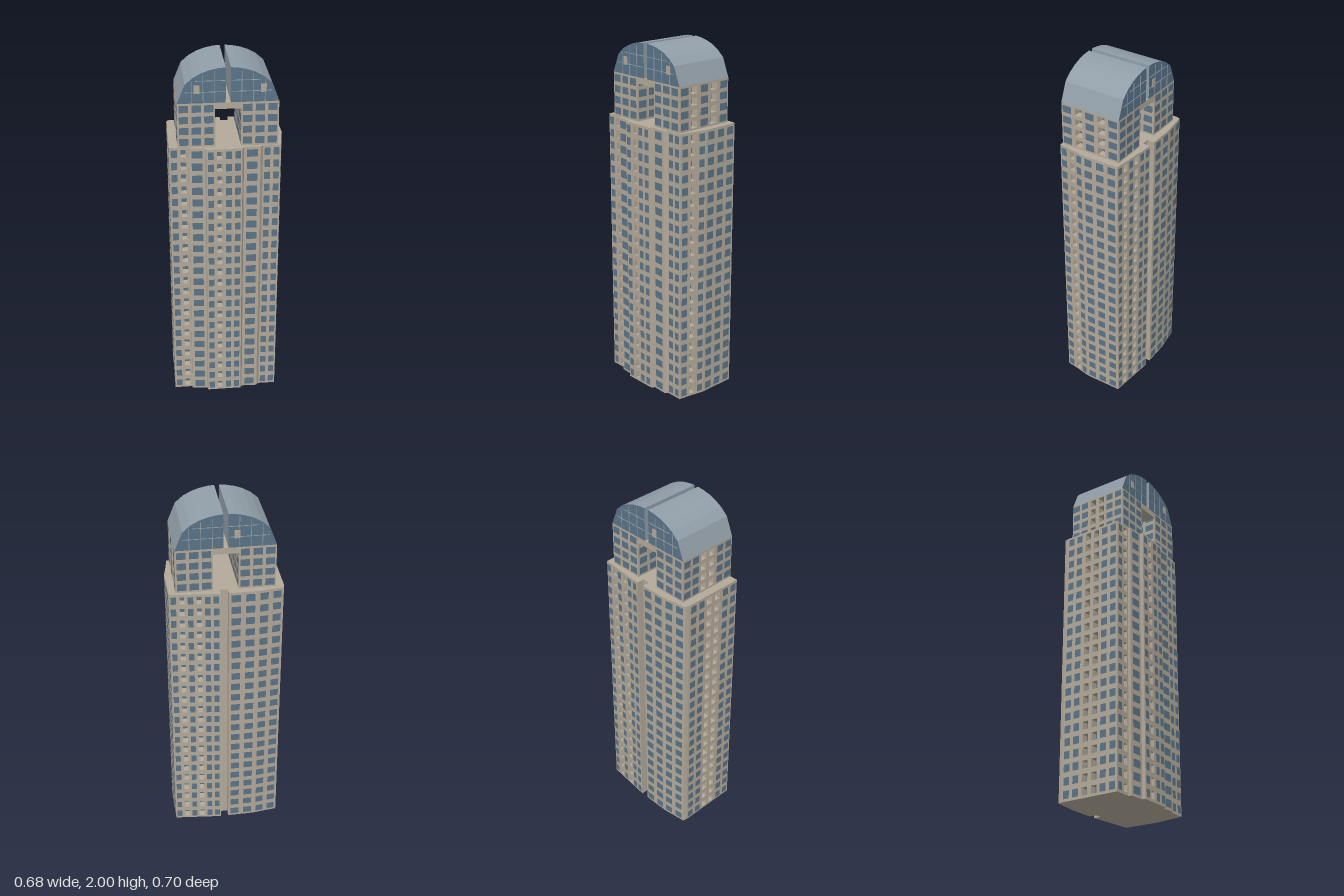
import * as THREE from 'three';
import { mergeGeometries } from 'three/addons/utils/BufferGeometryUtils.js';

const mat = (name, color, side = THREE.FrontSide) => {
  const m = new THREE.MeshStandardMaterial({ color, side });
  m.name = name;
  return m;
};

export function createModel() {
  const stone = mat('warm stone', 0xb3a999);
  const glass = mat('blue glass', 0x5a7488);
  const metal = mat('roof metal', 0x919ea8);
  const root = new THREE.Group();
  root.name = 'tower';

  const add = (name, geo, material, parent = root) => {
    const m = new THREE.Mesh(geo, material);
    m.name = name;
    parent.add(m);
    return m;
  };
  const plane = (w, h, x, y, z) => new THREE.PlaneGeometry(w, h).translate(x, y, z);

  // Inward-facing open box lining a balcony recess
  const recess = (w, h, d, x, y) => {
    const g = new THREE.BoxGeometry(w, h, d);
    const keep = Array.from(g.index.array).filter((_, i) => i < 24 || i >= 30);
    g.setIndex(keep);
    g.clearGroups();
    g.scale(-1, 1, 1);
    g.computeVertexNormals();
    return g.translate(x, y, -d / 2);
  };

  // Storeyed block on a footprint; one pattern per side, read left to right
  // from outside: w = window, b = recessed balcony
  const block = (name, pts, patterns, y0, y1, floors, wide, high) => {
    const walls = [], panes = [];
    const fh = (y1 - y0) / floors, depth = 0.04;
    pts.forEach((a, i) => {
      const b = pts[(i + 1) % pts.length];
      const dx = b[0] - a[0], dz = b[1] - a[1], len = Math.hypot(dx, dz);
      const place = new THREE.Matrix4().makeRotationY(Math.atan2(dz, -dx))
        .setPosition((a[0] + b[0]) / 2, y0, (a[1] + b[1]) / 2);
      const put = (list, g) => list.push(g.applyMatrix4(place));
      const wall = new THREE.Shape([[-len / 2, 0], [len / 2, 0], [len / 2, y1 - y0], [-len / 2, y1 - y0]]
        .map(p => new THREE.Vector2(...p)));
      const cells = patterns[i] || '', cw = len / (cells.length || 1), h = fh * high;
      for (let c = 0; c < cells.length; c++) {
        const x = -len / 2 + (c + 0.5) * cw;
        for (let f = 0; f < floors; f++) {
          const y = (f + 0.5) * fh;
          if (cells[c] === 'w') {
            put(panes, plane(cw * wide, h, x, y, 0.002));
          } else {
            const w = cw * 0.6;
            wall.holes.push(new THREE.Path([[-1, -1], [-1, 1], [1, 1], [1, -1]]
              .map(([s, t]) => new THREE.Vector2(x + s * w / 2, y + t * h / 2))));
            put(walls, recess(w, h, depth, x, y));
            put(panes, plane(w * 0.9, h * 0.95, x, y, 0.002 - depth));
          }
        }
      }
      put(walls, new THREE.ShapeGeometry(wall));
    });
    // Roof deck and underside
    const outline = s => new THREE.Shape(pts.map(([x, z]) => new THREE.Vector2(x, s * z)));
    walls.push(new THREE.ShapeGeometry(outline(-1)).rotateX(-Math.PI / 2).translate(0, y1, 0));
    walls.push(new THREE.ShapeGeometry(outline(1)).rotateX(Math.PI / 2).translate(0, y0, 0));
    const g = new THREE.Group();
    g.name = name;
    add(name + 'Walls', mergeGeometries(walls), stone, g);
    add(name + 'Windows', mergeGeometries(panes), glass, g);
    root.add(g);
  };

  // Main shaft
  const footprint = [
    [0.09, -0.35], [0.245, -0.2], [0.305, -0.113], [0.34, -0.068], [0.272, 0],
    [0.274, 0.022], [0.21, 0.083], [0.216, 0.102], [0.082, 0.24], [0.067, 0.229],
    [0, 0.287], [-0.012, 0.276], [-0.083, 0.348], [-0.33, 0.099], [-0.343, 0.078],
    [-0.257, -0.035], [-0.149, -0.145], [-0.119, -0.115], [-0.089, -0.145], [-0.119, -0.177],
  ];
  const sides = ['www', 'bw', 'w', 'ww', '', 'w', '', 'wbww', '', 'w',
    '', 'wb', 'wwbbww', '', 'ww', 'ww', '', '', '', 'wbwbww'];
  block('shaft', footprint, sides, 0, 1.565, 22, 0.64, 0.6);

  // Two upper wings, set diagonally, with an open passage between them
  const U0 = -0.258, U1 = 0.273, V0 = -0.167, V1 = 0.187, EAVE = 1.81;
  const P0 = -0.06, P1 = 0.076;
  const diag = (u, v) => [(u + v) * Math.SQRT1_2, (v - u) * Math.SQRT1_2];
  const rect = (a, b) => [diag(b, V0), diag(b, V1), diag(a, V1), diag(a, V0)];
  block('westWing', rect(U0, P0), ['wwwww', 'www', 'wwbbww', 'www'], 1.565, EAVE, 4, 0.74, 0.64);
  block('eastWing', rect(P1, U1), ['wbwbw', 'www', 'wwwww', 'www'], 1.565, EAVE, 4, 0.74, 0.64);

  // Crown: local x runs across the vault, local z along it
  const crown = new THREE.Group();
  crown.name = 'crown';
  crown.rotation.y = Math.PI / 4;
  root.add(crown);
  const midV = (V0 + V1) / 2, lenV = V1 - V0;
  add('bridge', new THREE.BoxGeometry(P1 - P0, 0.035, lenV)
    .translate((P0 + P1) / 2, EAVE - 0.0175, midV), stone, crown);

  // Barrel vault in two halves split by a narrow slot
  const mid = (U0 + U1) / 2, half = (U1 - U0) / 2;
  const vaultY = d => EAVE + 0.19 * Math.sqrt(Math.max(0, 1 - (d / half) ** 2));
  const stops = [0.013, 0.052, 0.095, 0.138, 0.181, 0.224, half];
  for (const s of [-1, 1]) {
    const shape = new THREE.Shape();
    shape.moveTo(mid + s * stops[0], EAVE);
    stops.forEach(d => shape.lineTo(mid + s * d, vaultY(d)));
    shape.closePath();
    const g = new THREE.ExtrudeGeometry(shape, { depth: lenV, bevelEnabled: false });
    add(s < 0 ? 'westVault' : 'eastVault', g.translate(0, 0, V0), [glass, metal], crown);
  }

  // Thin glazing bars on both gable ends
  const bars = [];
  for (const z of [V0 - 0.001, V1 + 0.001]) {
    for (const s of [-1, 1]) {
      for (const d of [0.07, 0.13, 0.19]) {
        const h = vaultY(d) - EAVE - 0.012;
        bars.push(new THREE.BoxGeometry(0.003, h, 0.003).translate(mid + s * d, EAVE + h / 2, z));
      }
      for (const [y, w] of [[1.87, 0.225], [1.93, 0.17]]) {
        bars.push(new THREE.BoxGeometry(w - 0.015, 0.003, 0.003).translate(mid + s * (w + 0.015) / 2, y, z));
      }
    }
  }
  add('glazingBars', mergeGeometries(bars), metal, crown);

  // Small stone panels in the gables
  const panels = [[-0.155, V1], [0.19, V1], [-0.05, V0]].map(([u, z]) =>
    new THREE.BoxGeometry(0.03, 0.045, 0.006).translate(u, 1.885, z));
  add('gablePanels', mergeGeometries(panels), stone, crown);

  return root;
}
